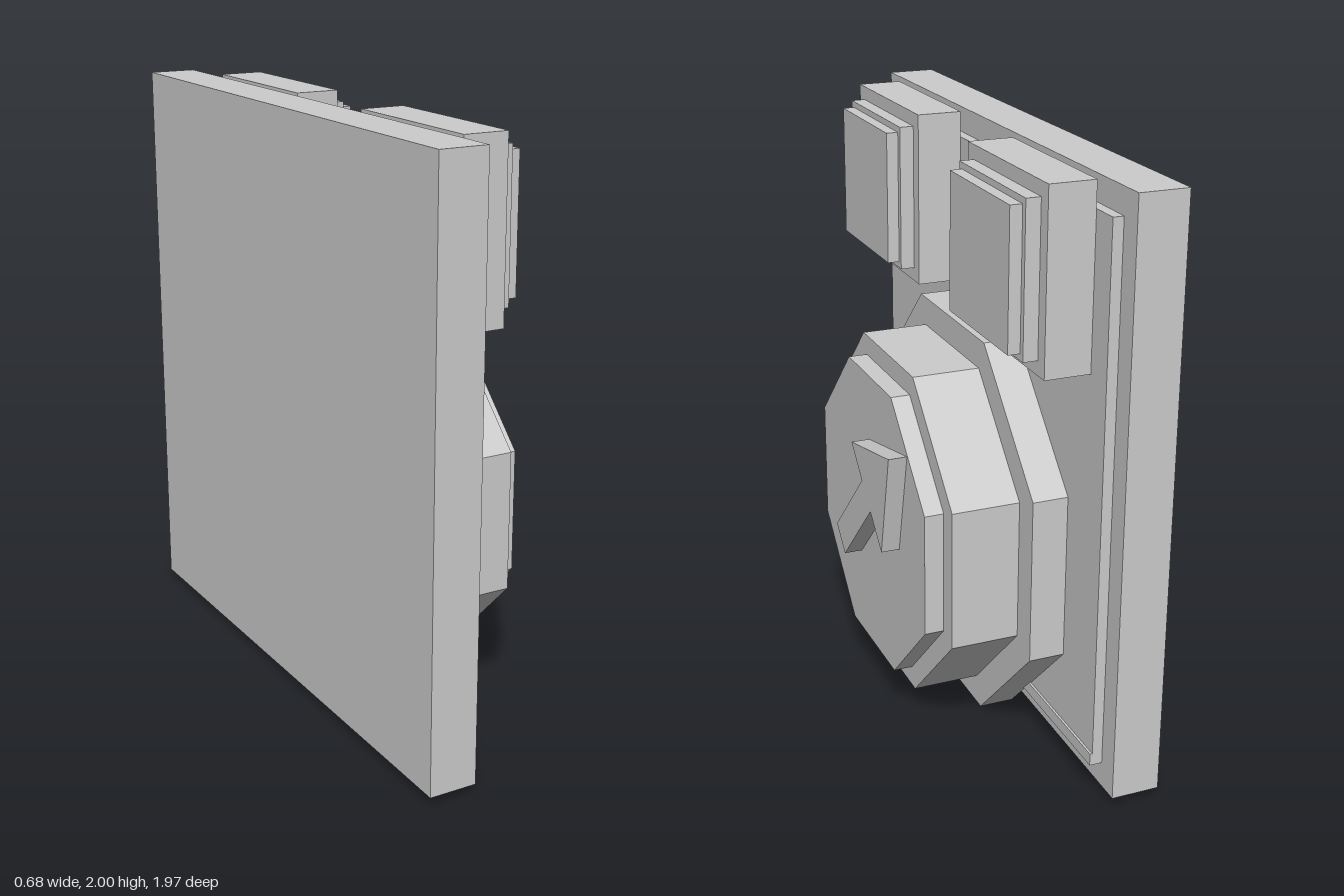
import * as THREE from 'three';

export function createModel() {
  const group = new THREE.Group();
  group.name = 'controlPanel';
  const grey = new THREE.MeshStandardMaterial({ color: 0xcccccc, flatShading: true });
  grey.name = 'grey';

  const add = (name, geometry, parent = group) => {
    const mesh = new THREE.Mesh(geometry, grey);
    mesh.name = name;
    parent.add(mesh);
    return mesh;
  };

  // Box given by its limits on each axis
  const block = (name, x0, x1, y0, y1, z0, z1, parent) => {
    const mesh = add(name, new THREE.BoxGeometry(x1 - x0, y1 - y0, z1 - z0), parent);
    mesh.position.set((x0 + x1) / 2, (y0 + y1) / 2, (z0 + z1) / 2);
  };

  // Outline of [z, y] points raised along x
  const plate = (name, points, x0, x1, parent) => {
    const shape = new THREE.Shape(points.map(([z, y]) => new THREE.Vector2(-z, y)));
    const geometry = new THREE.ExtrudeGeometry(shape, { depth: x1 - x0, bevelEnabled: false });
    geometry.rotateY(Math.PI / 2).translate(x0, 0, 0);
    add(name, geometry, parent);
  };

  // Backing board with raised inner panel and bottom lip
  block('backBoard', -0.338, -0.175, 0.03, 2, -0.985, 0.985);
  block('innerPanel', -0.175, -0.14, 0.115, 1.915, -0.905, 0.905);
  block('bottomLip', -0.14, -0.132, 0.115, 0.157, -0.905, 0.905);

  // Two square stepped buttons
  for (const side of [-1, 1]) {
    const button = new THREE.Group();
    button.name = side > 0 ? 'frontButton' : 'rearButton';
    group.add(button);
    const z = side * 0.509, y = 1.706;
    const steps = [
      ['buttonBase', -0.14, 0.012, 0.294],
      ['buttonStep', 0.012, 0.06, 0.247],
      ['buttonCap', 0.06, 0.1, 0.226],
    ];
    for (const [name, x0, x1, h] of steps) block(name, x0, x1, y - h, y + h, z - h, z + h, button);
  }

  // Octagonal stepped dial
  const dial = new THREE.Group();
  dial.name = 'dial';
  group.add(dial);
  const tiers = [
    ['dialBase', -0.14, -0.02, 0.677],
    ['dialBody', -0.02, 0.21, 0.577],
    ['dialFace', 0.21, 0.275, 0.506],
  ];
  for (const [name, x0, x1, apothem] of tiers) {
    const radius = apothem / Math.cos(Math.PI / 8);
    const points = Array.from({ length: 8 }, (_, i) => {
      const a = (i + 0.5) * Math.PI / 4;
      return [radius * Math.cos(a), 0.678 + radius * Math.sin(a)];
    });
    plate(name, points, x0, x1, dial);
  }

  // Raised pointer arrow
  plate('arrow', [
    [-0.353, 1.033], [0.013, 0.952], [-0.087, 0.85], [0.198, 0.565],
    [0.114, 0.485], [-0.168, 0.77], [-0.272, 0.667],
  ], 0.275, 0.338, dial);

  return group;
}
